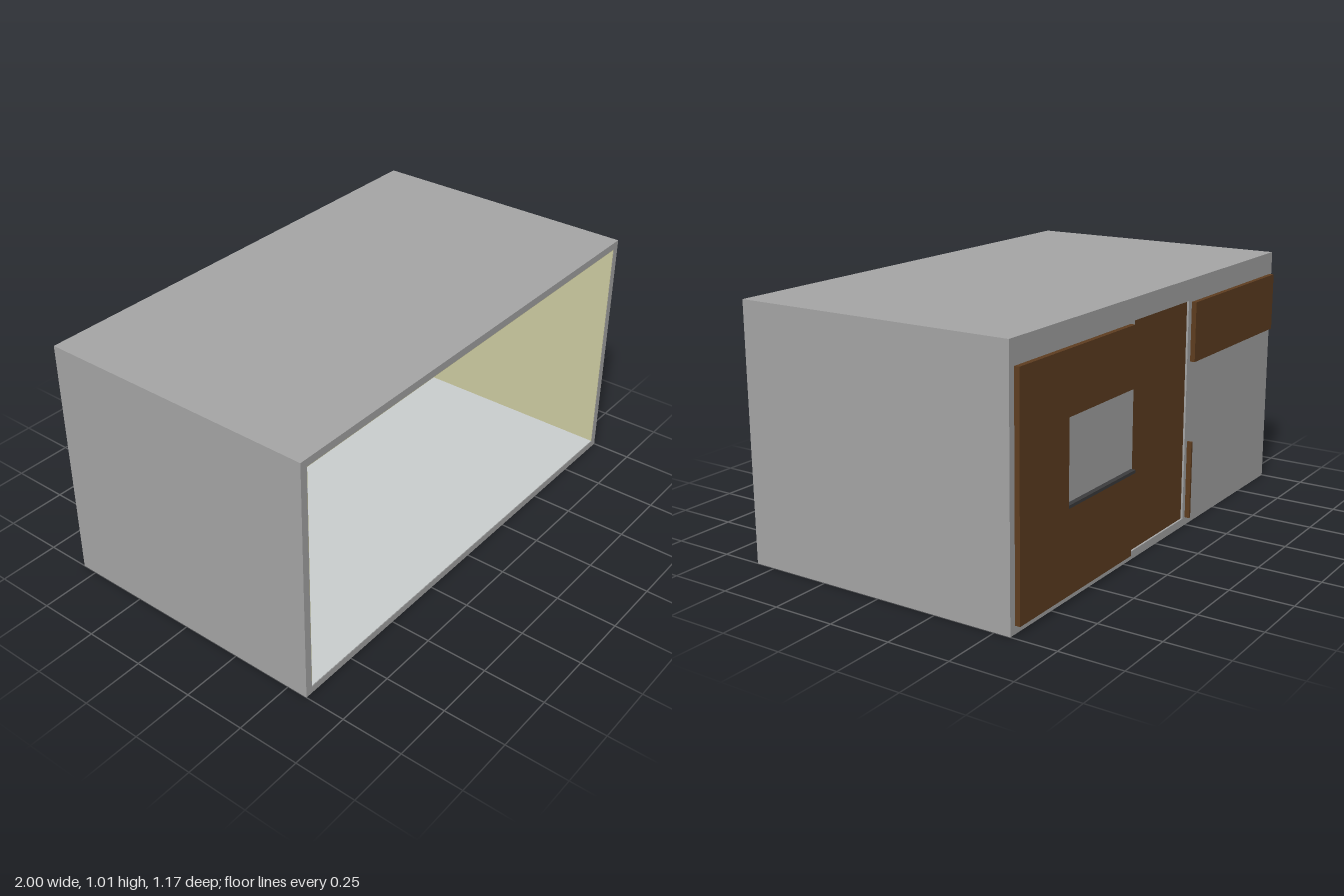
import * as THREE from 'three';

const mat = (name, color, extra = {}) => {
  const m = new THREE.MeshStandardMaterial({ color, ...extra });
  m.name = name;
  return m;
};

export function createModel() {
  const grey = mat('outer wall grey', 0xa6a6a6);
  const cream = mat('cream paint', 0xcfcda3);
  const floorMat = mat('pale floor', 0xcbcfcf);
  const wood = mat('brown wood', 0x5f3e20);
  const dark = mat('dark worktop', 0x3c3c3e);
  const steel = mat('steel', 0xb9b9be);
  const brass = mat('brass', 0xb9a04a);
  const black = mat('reveal brown', 0x2c1c0e);

  const model = new THREE.Group();
  model.name = 'kitchenRoom';
  let target = model;
  const part = (name) => {
    target = new THREE.Group();
    target.name = name;
    model.add(target);
  };
  const add = (name, geo, m, x = 0, y = 0, z = 0) => {
    const mesh = new THREE.Mesh(geo, m);
    mesh.name = name;
    mesh.position.set(x, y, z);
    target.add(mesh);
    return mesh;
  };
  // Box from its limits on each axis
  const box = (name, m, x0, x1, y0, y1, z0, z1) =>
    add(name, new THREE.BoxGeometry(x1 - x0, y1 - y0, z1 - z0), m, (x0 + x1) / 2, (y0 + y1) / 2, (z0 + z1) / 2);

  // Bar handle with two posts, facing +z or +x
  const handle = (x, y, z, len, vertical = true, faceX = false) => {
    const g = new THREE.Group();
    g.name = 'handle';
    const bar = new THREE.Mesh(new THREE.BoxGeometry(0.005, len, 0.005), steel);
    bar.position.z = 0.014;
    g.add(bar);
    for (const s of [-1, 1]) {
      const post = new THREE.Mesh(new THREE.BoxGeometry(0.004, 0.004, 0.014), steel);
      post.position.set(0, s * len * 0.42, 0.007);
      g.add(post);
    }
    if (!vertical) g.rotation.z = Math.PI / 2;
    if (faceX) g.rotation.y = Math.PI / 2;
    g.position.set(x, y, z);
    target.add(g);
  };
  // Rows of door plates with fine gaps, on a face at z or at x
  const gap = 0.0015;
  const doorsZ = (xs, y0, y1, z) => {
    box('doorReveal', black, xs[0], xs[xs.length - 1], y0, y1, z, z + 0.001);
    for (let i = 0; i < xs.length - 1; i++)
      box('cabinetDoor', wood, xs[i] + gap, xs[i + 1] - gap, y0 + gap, y1 - gap, z, z + 0.008);
  };
  const doorsX = (zs, y0, y1, x) => {
    box('doorReveal', black, x, x + 0.001, y0, y1, zs[0], zs[zs.length - 1]);
    for (let i = 0; i < zs.length - 1; i++)
      box('cabinetDoor', wood, x, x + 0.008, y0 + gap, y1 - gap, zs[i] + gap, zs[i + 1] - gap);
  };
  // Upright sheet with the doorway cut out
  const wallWithDoorway = (name, m, x, y0, y1, z, depth) => {
    const s = new THREE.Shape([[-x, y0], [x, y0], [x, y1], [-x, y1]].map(p => new THREE.Vector2(...p)));
    s.holes.push(new THREE.Path([[-0.225, 0.032], [-0.225, 0.925], [0.2, 0.925], [0.2, 0.032]].map(p => new THREE.Vector2(...p))));
    add(name, new THREE.ExtrudeGeometry(s, { depth, bevelEnabled: false }), m, 0, 0, z);
  };

  // Room shell, open at the front
  part('roomShell');
  box('floorSlab', grey, -1, 1, 0, 0.03, -0.565, 0.585);
  box('roofSlab', grey, -1, 1, 0.98, 1.01, -0.565, 0.585);
  for (const s of [-1, 1]) {
    box('sideWall', grey, s * 0.985 - 0.015, s * 0.985 + 0.015, 0.03, 0.98, -0.565, 0.585);
    box('sideWallPaint', cream, s * 0.9685 - 0.0015, s * 0.9685 + 0.0015, 0.03, 0.98, -0.535, 0.584);
  }
  wallWithDoorway('backWall', grey, 0.97, 0.03, 0.98, -0.565, 0.03);
  wallWithDoorway('backWallPaint', cream, 0.967, 0.031, 0.979, -0.535, 0.003);
  box('ceilingPaint', cream, -0.967, 0.967, 0.977, 0.98, -0.532, 0.584);
  box('floorCovering', floorMat, -0.967, 0.967, 0.03, 0.033, -0.532, 0.584);

  // Door in the back wall
  part('entranceDoor');
  box('doorFrame', wood, -0.225, 0.2, 0.031, 0.925, -0.557, -0.528);
  for (const x of [-0.2125, 0.1875]) box('doorJamb', wood, x - 0.0125, x + 0.0125, 0.033, 0.925, -0.528, -0.518);
  box('doorHead', wood, -0.2, 0.175, 0.905, 0.925, -0.528, -0.518);
  box('doorReveal', black, -0.2, 0.175, 0.033, 0.905, -0.528, -0.526);
  box('doorLeaf', wood, -0.197, 0.172, 0.033, 0.902, -0.528, -0.521);
  add('knobPlate', new THREE.CylinderGeometry(0.018, 0.018, 0.006, 20), steel, 0.145, 0.447, -0.518).rotation.x = Math.PI / 2;
  add('knob', new THREE.SphereGeometry(0.018, 20, 12), steel, 0.145, 0.447, -0.5);
  add('knobStem', new THREE.CylinderGeometry(0.007, 0.007, 0.03, 12), steel, 0.145, 0.447, -0.512).rotation.x = Math.PI / 2;

  // L-shaped base cabinets
  part('leftBaseCabinets');
  box('sideRun', wood, -0.967, -0.808, 0.033, 0.353, -0.532, 0.3);
  box('backRun', wood, -0.808, -0.25, 0.033, 0.353, -0.532, -0.315);
  box('endPanel', wood, -0.255, -0.245, 0.033, 0.353, -0.585, -0.308);
  doorsX([-0.305, -0.16, -0.04, 0.15, 0.3], 0.033, 0.35, -0.808);
  for (const z of [-0.18, -0.06, 0.0, 0.17]) handle(-0.8, 0.26, z, 0.055, true, true);
  doorsZ([-0.8, -0.72, -0.61], 0.033, 0.35, -0.315);
  for (const y of [[0.033, 0.17], [0.17, 0.275], [0.275, 0.35]]) doorsZ([-0.61, -0.365], ...y, -0.315);
  doorsZ([-0.365, -0.255], 0.033, 0.35, -0.315);
  for (const x of [-0.73, -0.655, -0.352]) handle(x, 0.208, -0.307, 0.05);
  for (const y of [0.117, 0.232, 0.318]) handle(-0.483, y, -0.307, 0.055, false);

  part('leftWorktop');
  box('sideWorktop', dark, -0.967, -0.787, 0.353, 0.365, -0.532, 0.31);
  box('backWorktop', dark, -0.787, -0.235, 0.353, 0.365, -0.532, -0.295);

  // Sink with two basins, drainer rims and a curved tap
  part('sink');
  const sinkShape = new THREE.Shape([[-0.955, 0.13], [-0.8, 0.13], [-0.8, 0.29], [-0.955, 0.29]].map(p => new THREE.Vector2(...p)));
  for (const z of [0.142, 0.216]) {
    sinkShape.holes.push(new THREE.Path([[-0.925, z], [-0.925, z + 0.062], [-0.812, z + 0.062], [-0.812, z]].map(p => new THREE.Vector2(...p))));
    add('drain', new THREE.CylinderGeometry(0.01, 0.01, 0.002, 16), dark, -0.87, 0.368, z + 0.031);
  }
  const rim = add('sinkRim', new THREE.ExtrudeGeometry(sinkShape, { depth: 0.008, bevelEnabled: false }), steel, 0, 0.374, 0);
  rim.rotation.x = Math.PI / 2;
  box('basinFloor', steel, -0.93, -0.81, 0.365, 0.367, 0.138, 0.282);
  const tapPath = new THREE.CatmullRomCurve3([[-0.938, 0.37, 0.21], [-0.938, 0.405, 0.21], [-0.925, 0.42, 0.21], [-0.91, 0.41, 0.21], [-0.908, 0.395, 0.21]].map(p => new THREE.Vector3(...p)));
  add('tap', new THREE.TubeGeometry(tapPath, 20, 0.004, 8), steel);
  for (const z of [0.19, 0.23]) add('tapKnob', new THREE.CylinderGeometry(0.006, 0.006, 0.014, 12), steel, -0.94, 0.38, z);

  // Hob with burners and pan supports
  part('hob');
  box('hobPlate', steel, -0.955, -0.8, 0.365, 0.37, -0.18, 0.1);
  for (const x of [-0.918, -0.848]) for (const z of [-0.13, -0.04, 0.05]) {
    add('burner', new THREE.CylinderGeometry(0.015, 0.018, 0.006, 16), brass, x, 0.373, z);
    const ring = add('panSupport', new THREE.TorusGeometry(0.026, 0.002, 6, 20), dark, x, 0.377, z);
    ring.rotation.x = Math.PI / 2;
    box('supportBar', dark, x - 0.03, x + 0.03, 0.376, 0.379, z - 0.0015, z + 0.0015);
    box('supportBar', dark, x - 0.0015, x + 0.0015, 0.376, 0.379, z - 0.03, z + 0.03);
  }
  for (let i = 0; i < 5; i++) add('hobKnob', new THREE.CylinderGeometry(0.006, 0.006, 0.008, 12), brass, -0.81, 0.373, -0.13 + i * 0.045);

  // Extractor hood
  part('extractorHood');
  box('hoodCanopy', steel, -0.955, -0.74, 0.607, 0.622, -0.18, 0.12);
  box('hoodBody', steel, -0.955, -0.84, 0.622, 0.64, -0.14, 0.08);

  // L-shaped wall cabinets over an open shelf
  part('leftWallCabinets');
  box('sideRun', wood, -0.967, -0.817, 0.68, 0.918, -0.532, 0.3);
  box('backRun', wood, -0.98, -0.25, 0.68, 0.918, -0.585, -0.358);
  box('endPanel', wood, -0.967, -0.809, 0.64, 0.918, 0.292, 0.302);
  box('sideShelf', wood, -0.967, -0.809, 0.64, 0.65, -0.532, 0.292);
  box('backShelf', wood, -0.809, -0.255, 0.64, 0.65, -0.532, -0.35);
  box('shelfPost', wood, -0.275, -0.26, 0.65, 0.68, -0.532, -0.352);
  box('shelfDivider', wood, -0.967, -0.809, 0.65, 0.68, 0.105, 0.115);
  doorsX([-0.35, -0.2, -0.04, 0.11, 0.292], 0.68, 0.918, -0.817);
  box('glassPane', grey, -0.809, -0.807, 0.7, 0.895, 0.14, 0.265);
  for (const z of [-0.22, -0.06, -0.02, 0.125]) handle(-0.809, 0.81, z, 0.05, true, true);
  doorsZ([-0.809, -0.61, -0.415, -0.25], 0.68, 0.918, -0.358);
  for (const x of [-0.455, -0.375]) handle(x, 0.78, -0.35, 0.055);

  // Right-hand base, wall and tall cabinets
  part('rightCabinets');
  const split = [0.23, 0.335, 0.45, 0.56, 0.672];
  box('baseCabinet', wood, 0.23, 0.672, 0.031, 0.353, -0.585, -0.315);
  box('worktop', dark, 0.208, 0.672, 0.353, 0.365, -0.585, -0.295);
  box('wallCabinet', wood, 0.23, 0.672, 0.68, 0.918, -0.585, -0.358);
  doorsZ(split, 0.033, 0.35, -0.315);
  doorsZ(split, 0.68, 0.918, -0.358);
  for (const x of [0.325, 0.346, 0.55, 0.571]) {
    handle(x, 0.258, -0.307, 0.05);
    handle(x, 0.815, -0.35, 0.05);
  }
  box('tallCabinet', wood, 0.672, 0.972, 0.031, 0.918, -0.585, -0.315);
  for (const y of [0.0335, 0.91]) box('tallTrim', cream, 0.68, 0.966, y, y + 0.007, -0.315, -0.312);
  doorsZ([0.674, 0.825, 0.966], 0.042, 0.908, -0.315);
  handle(0.698, 0.49, -0.307, 0.08);

  return model;
}
